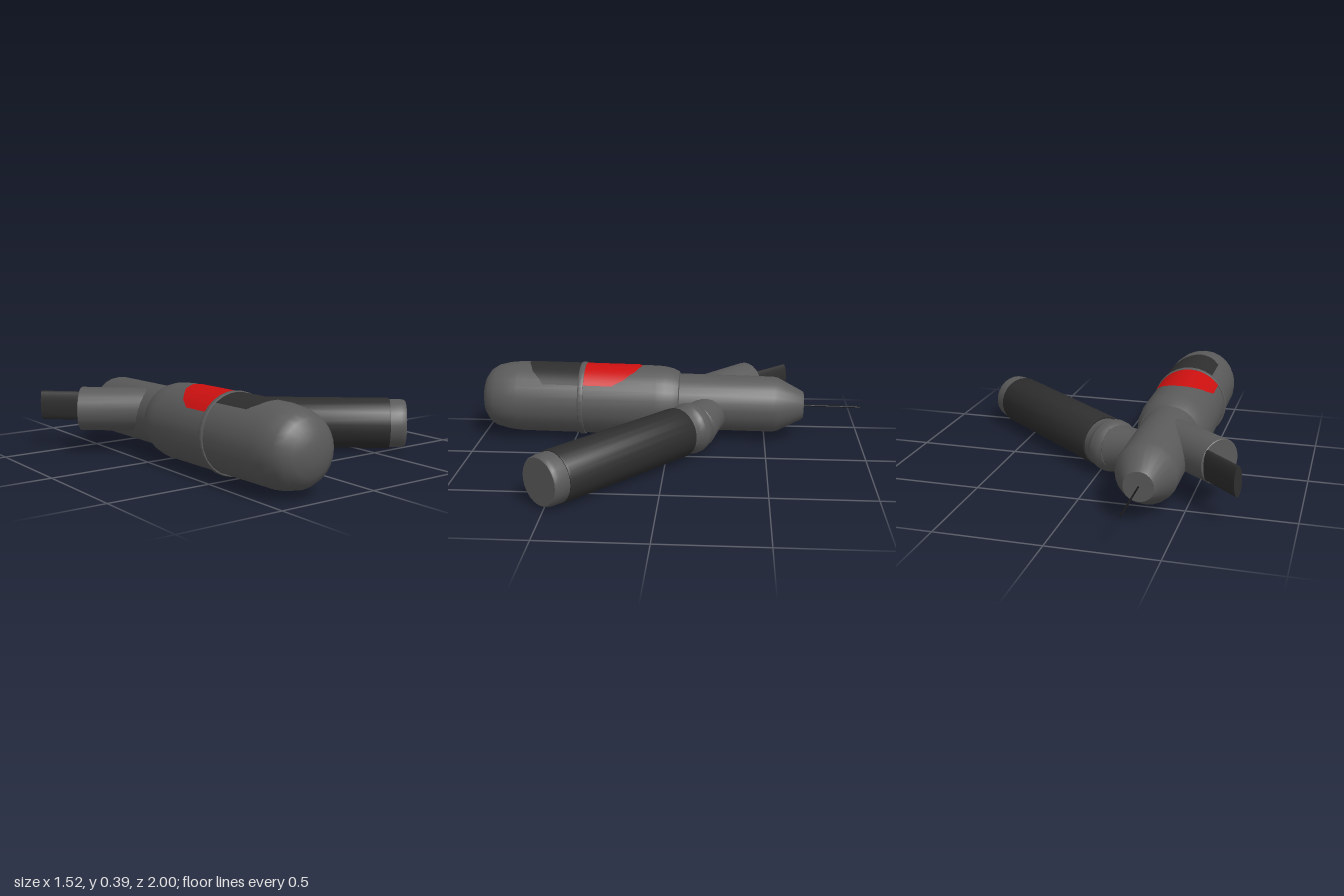
import * as THREE from 'three';
import { toCreasedNormals } from 'three/addons/utils/BufferGeometryUtils.js';

const material = (color) => new THREE.MeshStandardMaterial({ color });
const UP = new THREE.Vector3(0, 1, 0);

// Turned part: profile of [radius, distance] pairs, distance growing along dir from origin.
function turned(name, profile, origin, dir, mat, segments = 24) {
  const points = profile.map(([r, t]) => new THREE.Vector2(r, t));
  const geometry = toCreasedNormals(new THREE.LatheGeometry(points, segments), 0.55);
  const mesh = new THREE.Mesh(geometry, mat);
  mesh.name = name;
  mesh.position.set(...origin);
  mesh.quaternion.setFromUnitVectors(UP, new THREE.Vector3(...dir).normalize());
  return mesh;
}

// Curved panel lying on top of the barrel, from the ring at z0 out to a faceted tip.
// edge lists [x, z] corners of the tip from left to right.
function panel(name, edge, z0, radius, mat) {
  const steps = 24;
  const geometry = new THREE.PlaneGeometry(1, 1, steps, 1);
  const p = geometry.attributes.position;
  const xMin = edge[0][0], xMax = edge[edge.length - 1][0];
  for (let i = 0; i < p.count; i++) {
    const x = xMin + (p.getX(i) + 0.5) * (xMax - xMin);
    const k = Math.min(edge.length - 2, Math.max(0, edge.findIndex((e) => e[0] >= x - 1e-6) - 1));
    const [a, b] = [edge[k], edge[k + 1]];
    const zTip = a[1] + (b[1] - a[1]) * THREE.MathUtils.clamp((x - a[0]) / (b[0] - a[0]), 0, 1);
    const z = p.getY(i) > 0 ? Math.min(z0, zTip) : Math.max(z0, zTip);
    p.setXYZ(i, x, Math.sqrt(radius * radius - x * x), z);
  }
  geometry.computeVertexNormals();
  const mesh = new THREE.Mesh(geometry, mat);
  mesh.name = name;
  return mesh;
}

export function createModel() {
  const model = new THREE.Group();
  model.name = 'handTool';
  const grey = material(0x5a5a5a);
  const dark = material(0x2e2e2e);
  const red = material(0xcc1010);
  const black = material(0x181818);

  // Main body, tilted very slightly nose down
  const body = new THREE.Group();
  body.name = 'body';
  body.position.set(-0.33, 0.193, 0);
  body.rotation.x = -0.015;
  const Z = [0, 0, 1], O = [0, 0, 0];
  body.add(turned('barrel', [
    [0, -0.7], [0.07, -0.7], [0.077, -0.69], [0.141, -0.565], [0.146, -0.54], [0.147, -0.05],
    [0.158, -0.045], [0.172, -0.015], [0.181, 0.025], [0.185, 0.07], [0.185, 0.8], [0.178, 0.86],
    [0.163, 0.92], [0.14, 0.955], [0.1, 0.982], [0.05, 0.996], [0, 1],
  ], O, Z, grey));
  body.add(turned('barrelRing', [
    [0.18, 0.447], [0.19, 0.447], [0.193, 0.452], [0.193, 0.47], [0.19, 0.475], [0.18, 0.475],
  ], O, Z, grey, 32));
  body.add(turned('needle', [[0, -1], [0.004, -1], [0.004, -0.68]], O, Z, black, 8));
  body.add(panel('redPanel', [
    [-0.15, 0.3], [-0.125, 0.24], [-0.07, 0.18], [0, 0.15], [0.07, 0.18], [0.125, 0.24], [0.15, 0.3],
  ], 0.45, 0.188, red));
  body.add(panel('darkPanel', [
    [-0.11, 0.69], [-0.07, 0.73], [0, 0.75], [0.09, 0.72], [0.15, 0.66],
  ], 0.47, 0.188, dark));
  model.add(body);

  // Side handle: collar, grip and end cap share one level axis
  const angle = THREE.MathUtils.degToRad(40);
  const axis = [Math.cos(angle), 0, Math.sin(angle)];
  const start = [0, 0.134, -0.06];
  const handle = new THREE.Group();
  handle.name = 'handle';
  handle.add(turned('collar', [
    [0, -0.135], [0.11, -0.135], [0.124, -0.115], [0.13, -0.095], [0.13, -0.065],
    [0.122, -0.055], [0.116, -0.03], [0.116, 0.01],
  ], start, axis, grey));
  handle.add(turned('grip', [
    [0, 0], [0.124, 0], [0.127, 0.008], [0.127, 0.81], [0.124, 0.818], [0, 0.818],
  ], start, axis, dark));
  handle.add(turned('endCap', [
    [0.121, 0.815], [0.121, 0.87], [0.118, 0.89], [0.112, 0.898], [0, 0.898],
  ], start, axis, grey));

  // Neck bending from the barrel to the handle
  const neckFrom = new THREE.Vector3(-0.33, 0.165, -0.24);
  const neckTo = new THREE.Vector3(-0.085, 0.136, -0.138);
  const neckDir = neckTo.clone().sub(neckFrom);
  const length = neckDir.length();
  handle.add(turned('neck', [
    [0, 0], [0.098, 0], [0.1, length * 0.55], [0.116, length], [0.1, length + 0.015], [0, length + 0.015],
  ], neckFrom.toArray(), neckDir.toArray(), grey));
  model.add(handle);

  // Side port on the opposite side, with a flat oval lever leaving its end
  model.add(turned('sidePort', [[0, 0], [0.107, 0], [0.107, 0.39], [0.104, 0.393], [0, 0.393]],
    [-0.33, 0.218, -0.152], axis.map((v) => -v), grey));
  const lever = new THREE.Group();
  lever.name = 'lever';
  const leverBody = turned('leverBlade', [[0, 0], [1, 0], [1, 0.4], [0, 0.4]], O, [0, 1, 0], dark);
  leverBody.scale.set(0.0215, 1, 0.0725);
  leverBody.rotation.z = Math.PI / 2;
  lever.add(leverBody);
  lever.position.set(-0.455, 0.218, -0.336);
  lever.rotation.y = THREE.MathUtils.degToRad(-44);
  // Blade runs along local -x; stand its wide side upright
  const upright = new THREE.Group();
  upright.rotation.x = Math.PI / 2;
  upright.add(leverBody);
  lever.add(upright);
  model.add(lever);

  return model;
}
